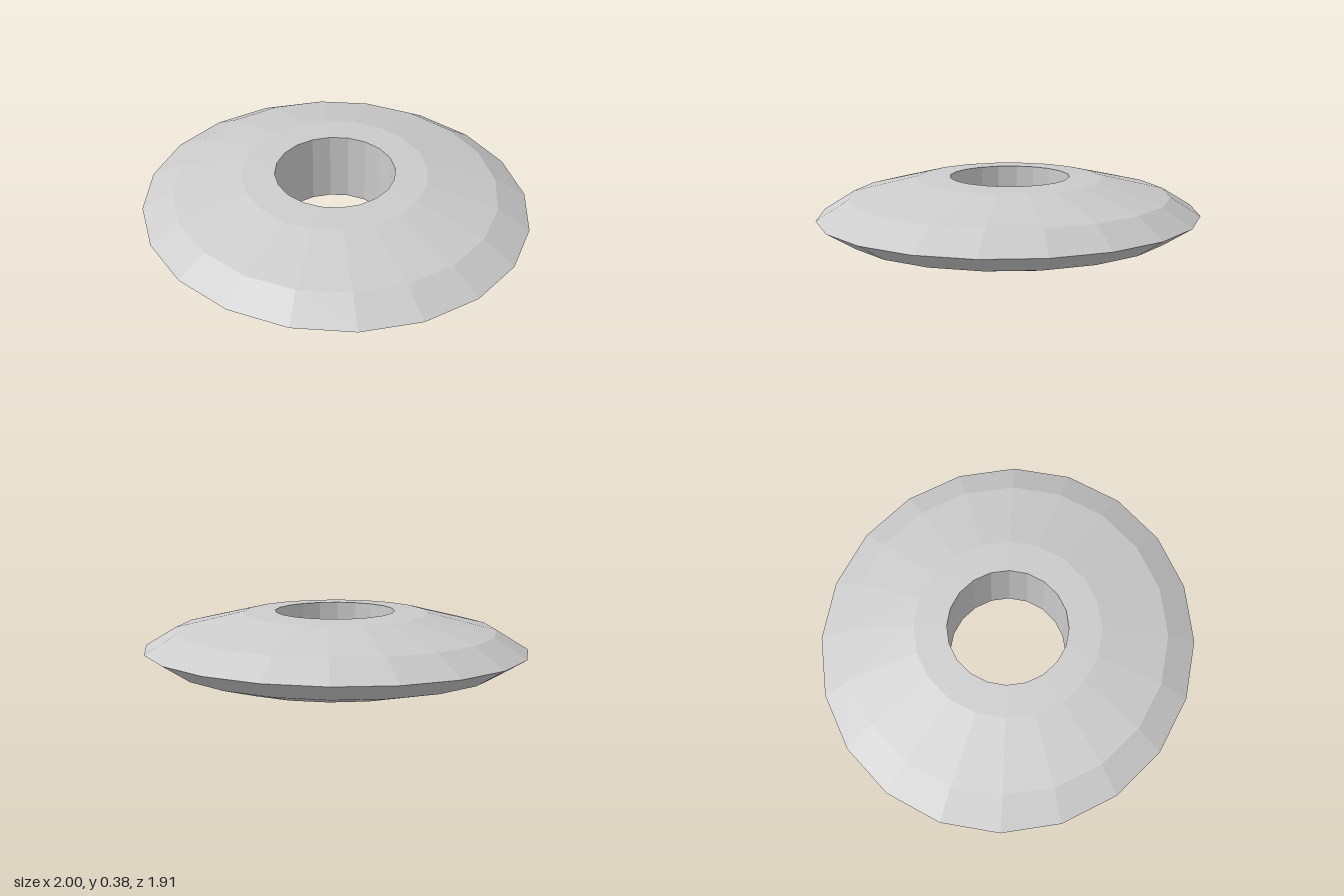
import * as THREE from 'three';

export function createModel() {
  const group = new THREE.Group();
  group.name = 'ringDisc';

  // Closed cross-section: [radius along x, height, radius along z]
  const rings = [
    [0.305, 0.375, 0.305], // upper rim of the hole
    [0.305, 0, 0.305],     // lower rim of the hole
    [0.46, 0.007, 0.465],
    [0.6, 0.03, 0.6],
    [0.85, 0.092, 0.815],
    [1, 0.183, 0.955],     // sharp outer edge
    [0.832, 0.28, 0.81],
    [0.47, 0.367, 0.472],
    [0.305, 0.375, 0.305],
  ];
  const geometry = new THREE.LatheGeometry(rings.map(([r, y]) => new THREE.Vector2(r, y)), 20);

  // Make each ring slightly oval in z
  const position = geometry.attributes.position;
  for (let i = 0; i < position.count; i++) {
    const [rx, , rz] = rings[i % rings.length];
    position.setZ(i, position.getZ(i) * rz / rx);
  }
  geometry.computeVertexNormals();

  const disc = new THREE.Mesh(
    geometry,
    new THREE.MeshStandardMaterial({ color: 0xcccccc, flatShading: true })
  );
  disc.name = 'disc';
  group.add(disc);
  return group;
}
